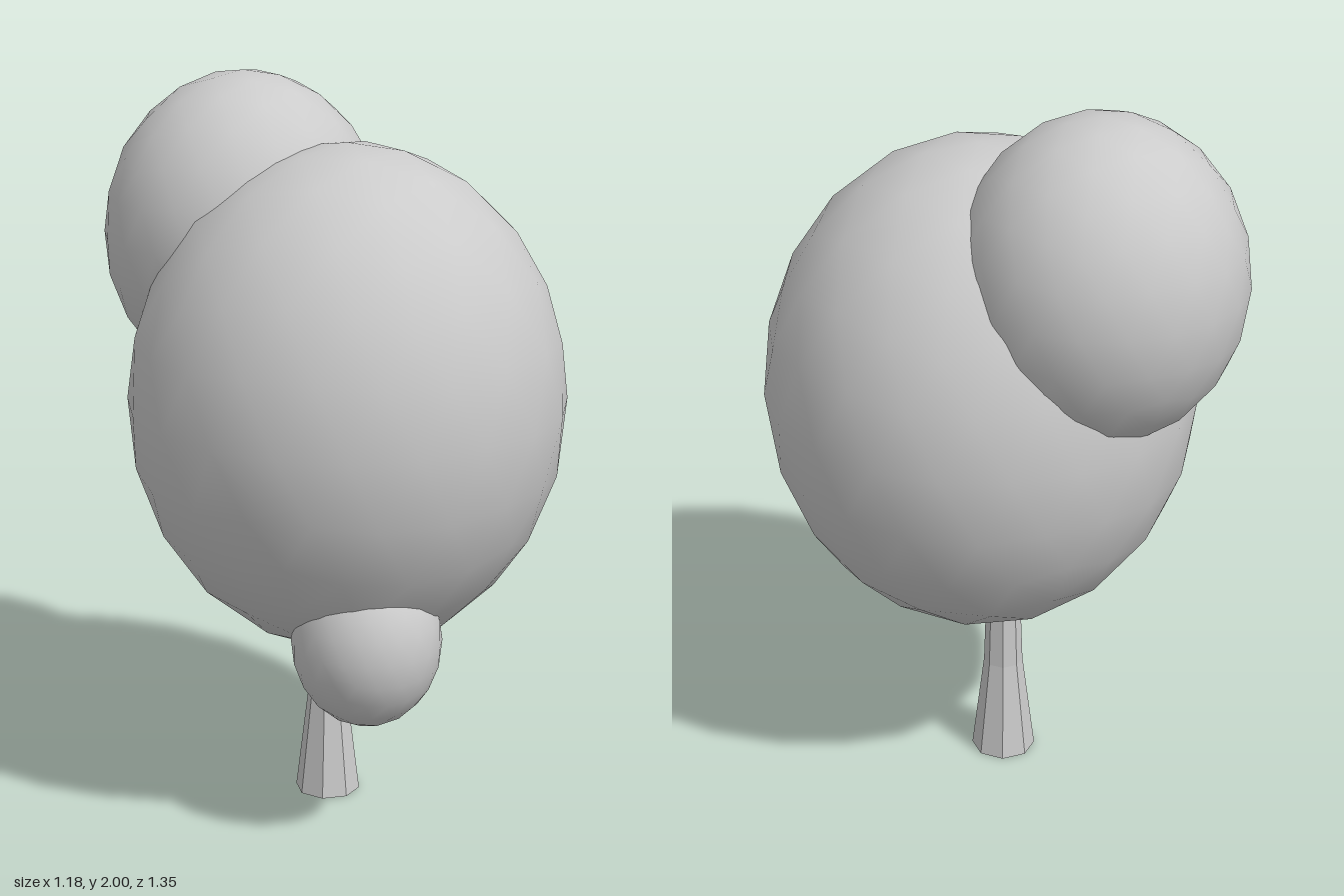
import * as THREE from 'three';

export function createModel() {
  const tree = new THREE.Group();
  tree.name = 'tree';
  const leaves = new THREE.MeshStandardMaterial({ color: 0xcccccc });
  const bark = new THREE.MeshStandardMaterial({ color: 0xcccccc, flatShading: true });

  // Foliage: smooth icospheres with a vertex at the pole, stretched upwards
  const tilt = Math.atan(2 / (1 + Math.sqrt(5)));
  const ball = new THREE.IcosahedronGeometry(1, 3).rotateZ(tilt);
  const foliage = [
    ['mainCrown', 0.59, 0.69, [0, 1.16, 0.08]],
    ['upperCrown', 0.385, 0.44, [-0.075, 1.56, -0.29]],
    ['lowerTuft', 0.2, 0.235, [-0.13, 0.58, 0.345]],
  ];
  for (const [name, width, height, position] of foliage) {
    const mesh = new THREE.Mesh(ball, leaves);
    mesh.name = name;
    mesh.scale.set(width, height, width);
    mesh.position.set(...position);
    tree.add(mesh);
  }

  // Trunk: faceted, flaring towards the closed base, ending inside the crown
  const profile = [[0, 0], [0.09, 0], [0.055, 0.29], [0.045, 0.6], [0, 0.6]];
  const trunk = new THREE.Mesh(
    new THREE.LatheGeometry(profile.map(([r, y]) => new THREE.Vector2(r, y)), 8),
    bark
  );
  trunk.name = 'trunk';
  trunk.position.set(-0.018, 0, 0.014);
  tree.add(trunk);

  return tree;
}
